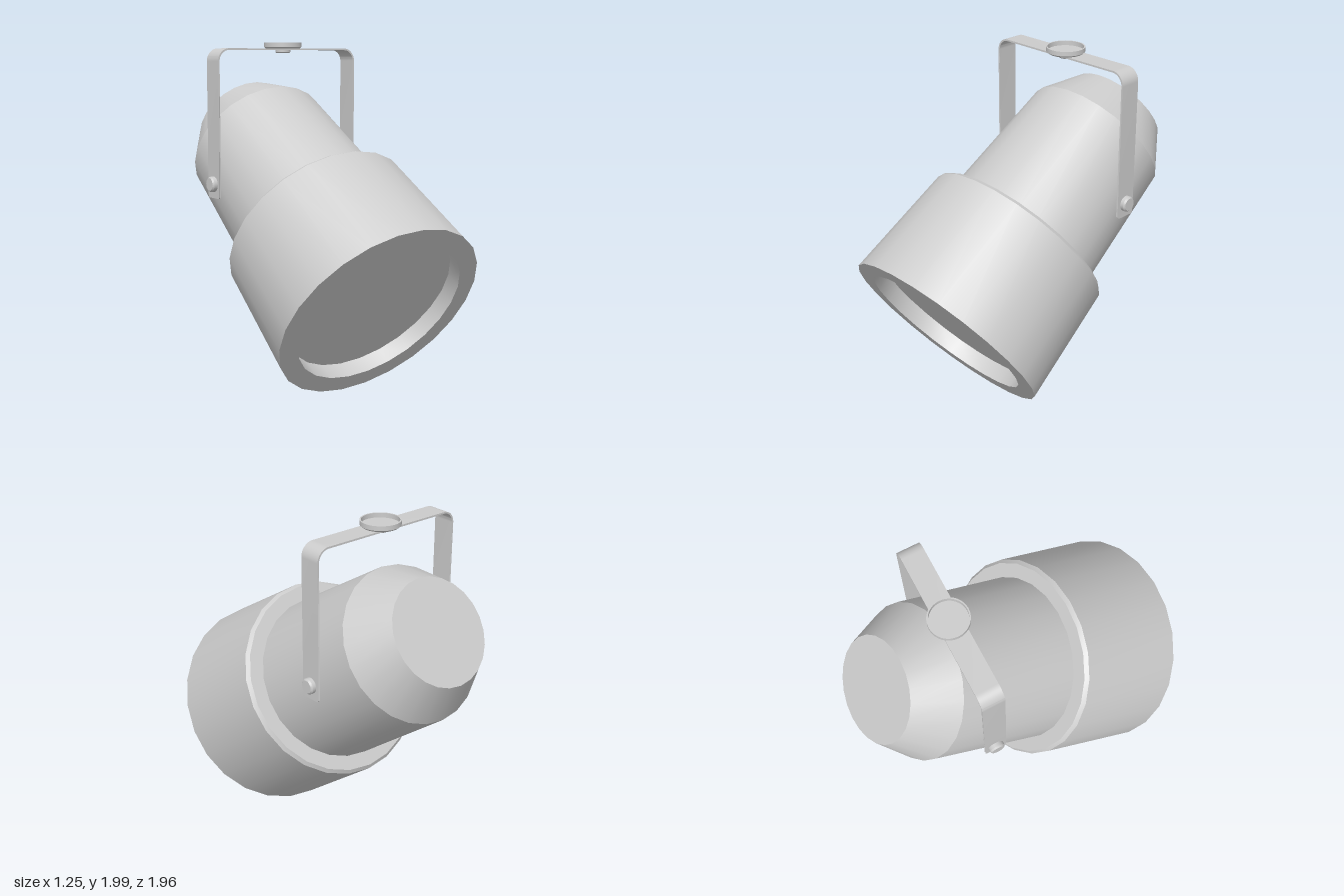
import * as THREE from 'three';
import { toCreasedNormals } from 'three/addons/utils/BufferGeometryUtils.js';

const material = new THREE.MeshStandardMaterial({ color: 0xcccccc });

function makeMesh(name, geometry) {
  const mesh = new THREE.Mesh(toCreasedNormals(geometry, 0.35), material);
  mesh.name = name;
  return mesh;
}

// Turned part: profile of [radius, height] pairs
function turned(name, profile, segments = 24) {
  const points = profile.map(([r, h]) => new THREE.Vector2(r, h));
  return makeMesh(name, new THREE.LatheGeometry(points, segments));
}

// U-shaped flat strap with rounded bends and rounded leg tips
function createBracket() {
  const outer = 0.485, thick = 0.01, top = 1.965, bottom = 1.095;
  const bend = 0.075, halfWidth = 0.065, tip = 0.02, tipSteps = 4;
  const inner = outer - thick;
  const tipHeights = [];
  for (let i = 0; i <= tipSteps; i++) {
    tipHeights.push(bottom + tip * (1 - Math.cos((i / tipSteps) * Math.PI / 2)));
  }
  const shape = new THREE.Shape();
  shape.moveTo(outer, bottom);
  tipHeights.slice(1).forEach((y) => shape.lineTo(outer, y));
  shape.lineTo(outer, top - bend);
  shape.absarc(outer - bend, top - bend, bend, 0, Math.PI / 2);
  shape.lineTo(-outer + bend, top);
  shape.absarc(-outer + bend, top - bend, bend, Math.PI / 2, Math.PI);
  [...tipHeights].reverse().forEach((y) => shape.lineTo(-outer, y));
  tipHeights.forEach((y) => shape.lineTo(-inner, y));
  shape.lineTo(-inner, top - bend);
  shape.absarc(-outer + bend, top - bend, bend - thick, Math.PI, Math.PI / 2, true);
  shape.lineTo(outer - bend, top - thick);
  shape.absarc(outer - bend, top - bend, bend - thick, Math.PI / 2, 0, true);
  [...tipHeights].reverse().forEach((y) => shape.lineTo(inner, y));

  const geometry = new THREE.ExtrudeGeometry(shape, {
    depth: 2 * halfWidth, bevelEnabled: false, curveSegments: 8,
  });
  geometry.translate(0, 0, -halfWidth);
  // Narrow the strap along a quarter circle at the leg tips
  const pos = geometry.attributes.position;
  for (let i = 0; i < pos.count; i++) {
    const d = Math.max(0, bottom + tip - pos.getY(i));
    const inset = tip - Math.sqrt(Math.max(0, tip * tip - d * d));
    pos.setZ(i, Math.sign(pos.getZ(i)) * (halfWidth - inset));
  }
  return makeMesh('bracket', geometry);
}

export function createModel() {
  const model = new THREE.Group();
  model.name = 'spotlight';

  // Lamp head, turned about its own axis and tilted downwards
  const head = new THREE.Group();
  head.name = 'lampHead';
  head.position.set(0, 0.52, 0.625);
  head.rotation.x = -0.965;
  head.add(
    turned('hood', [
      [0.512, 0.1], [0.512, 0], [0.625, 0], [0.586, 0.697],
      [0.567, 0.717], [0.47, 0.717],
    ]),
    turned('lens', [[0, 0.1], [0.512, 0.1]]),
    turned('housing', [[0.484, 0.7], [0.442, 1.5], [0.3, 1.742], [0, 1.742]]),
  );
  model.add(head);

  // Hanging bracket with its ceiling mount and pivots
  const mount = new THREE.Group();
  mount.name = 'mount';
  mount.position.z = -0.342;
  mount.add(createBracket());
  mount.add(turned('ceilingCup', [
    [0, 1.964], [0.1, 1.964], [0.112, 1.974], [0.112, 2],
    [0.104, 2], [0.104, 1.974], [0, 1.974],
  ], 32));
  mount.add(turned('mountNut', [
    [0, 1.937], [0.038, 1.937], [0.045, 1.943], [0.045, 1.957], [0, 1.957],
  ]));
  for (const side of [1, -1]) {
    const bolt = turned(side > 0 ? 'leftPivotBolt' : 'rightPivotBolt', [
      [0.03, 0.43], [0.03, 0.484], [0.045, 0.484], [0.045, 0.507],
      [0.037, 0.516], [0, 0.516],
    ]);
    bolt.position.y = 1.178;
    bolt.rotation.z = -side * Math.PI / 2;
    mount.add(bolt);
  }
  model.add(mount);
  return model;
}
